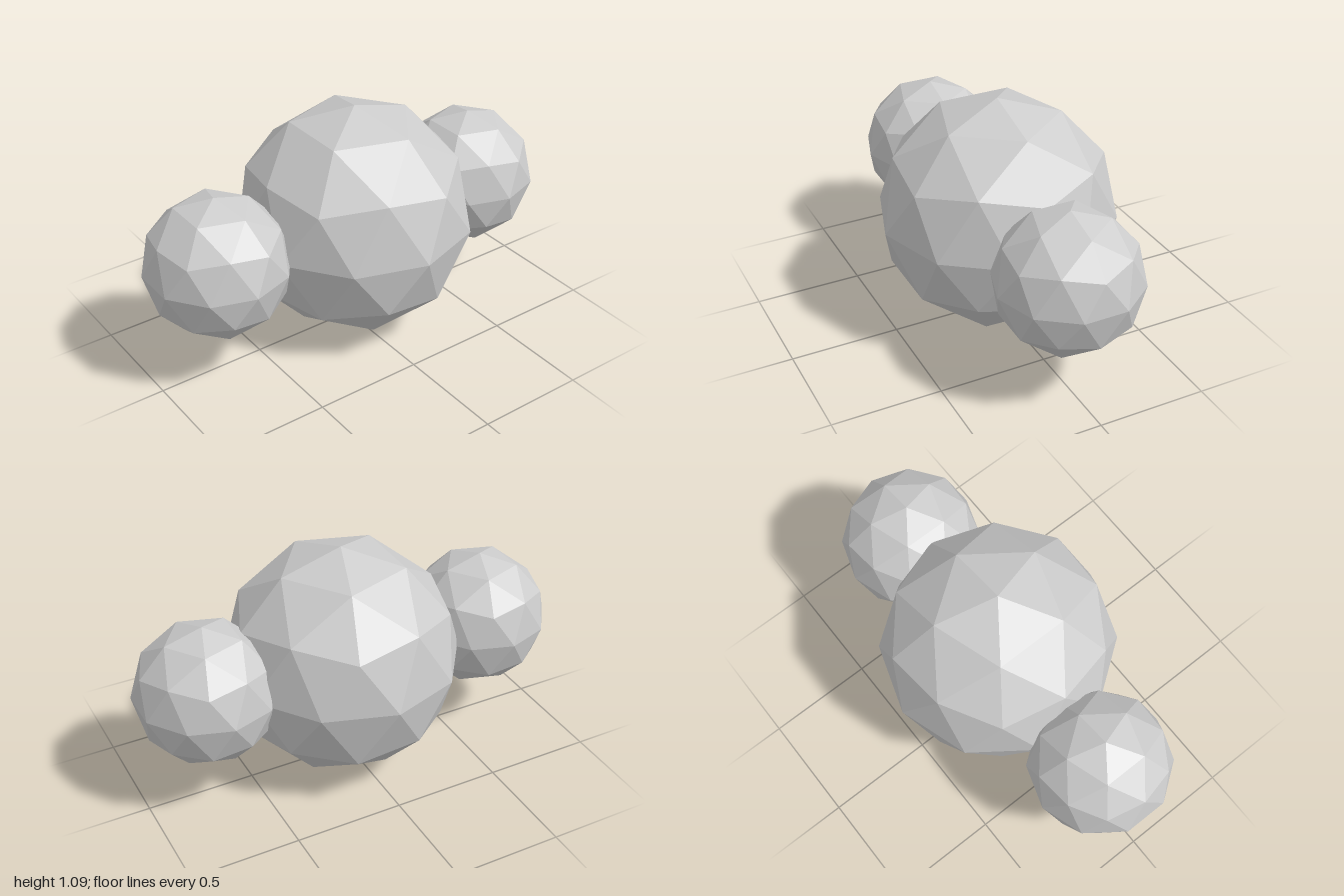
import * as THREE from 'three';

const CENTRE_Y = 0.545;
const GOLDEN = (1 + Math.sqrt(5)) / 2;

export function createModel() {
  const group = new THREE.Group();
  const material = new THREE.MeshStandardMaterial({ color: 0xcccccc, flatShading: true });

  // Faceted 80-sided ball, turned so that one corner points straight up
  function addBall(name, radius, x) {
    const geometry = new THREE.IcosahedronGeometry(radius, 1);
    geometry.rotateZ(-Math.atan(1 / GOLDEN));
    geometry.computeVertexNormals();
    const ball = new THREE.Mesh(geometry, material);
    ball.name = name;
    ball.position.set(x, CENTRE_Y, 0);
    group.add(ball);
  }

  // Large middle ball, slightly off centre, with a small ball at each side
  addBall('centralBall', 0.543, 0.033);
  addBall('leftBall', 0.326, 0.69);
  addBall('rightBall', 0.326, -0.69);

  return group;
}
